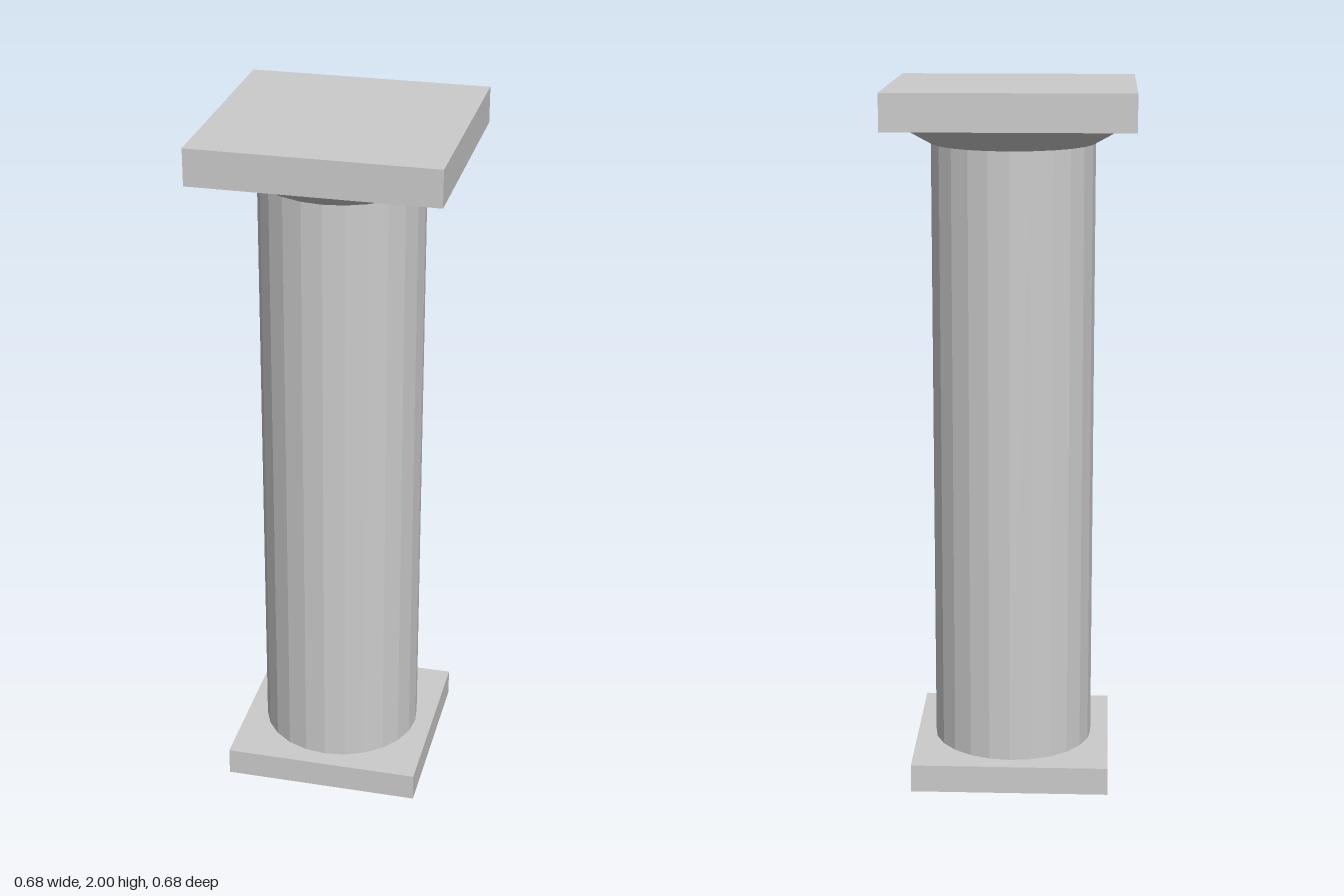
import * as THREE from 'three';

export function createModel() {
  const group = new THREE.Group();
  const material = new THREE.MeshStandardMaterial({ color: 0xcccccc, flatShading: true });
  const SIDES = 24;

  // adds a part that spans from y0 to y1
  const add = (name, geometry, y0, y1) => {
    const mesh = new THREE.Mesh(geometry, material);
    mesh.name = name;
    mesh.position.y = (y0 + y1) / 2;
    group.add(mesh);
  };
  const slab = (name, width, y0, y1) =>
    add(name, new THREE.BoxGeometry(width, y1 - y0, width), y0, y1);
  const drum = (name, rTop, rBottom, y0, y1) =>
    add(name, new THREE.CylinderGeometry(rTop, rBottom, y1 - y0, SIDES, 1, true), y0, y1);

  slab('basePlinth', 0.566, 0, 0.08);
  drum('shaft', 0.231, 0.231, 0.08, 1.836);
  // flared neck under the top slab
  drum('capitalFlare', 0.341, 0.231, 1.836, 1.897);
  slab('capitalSlab', 0.682, 1.897, 2);

  return group;
}
